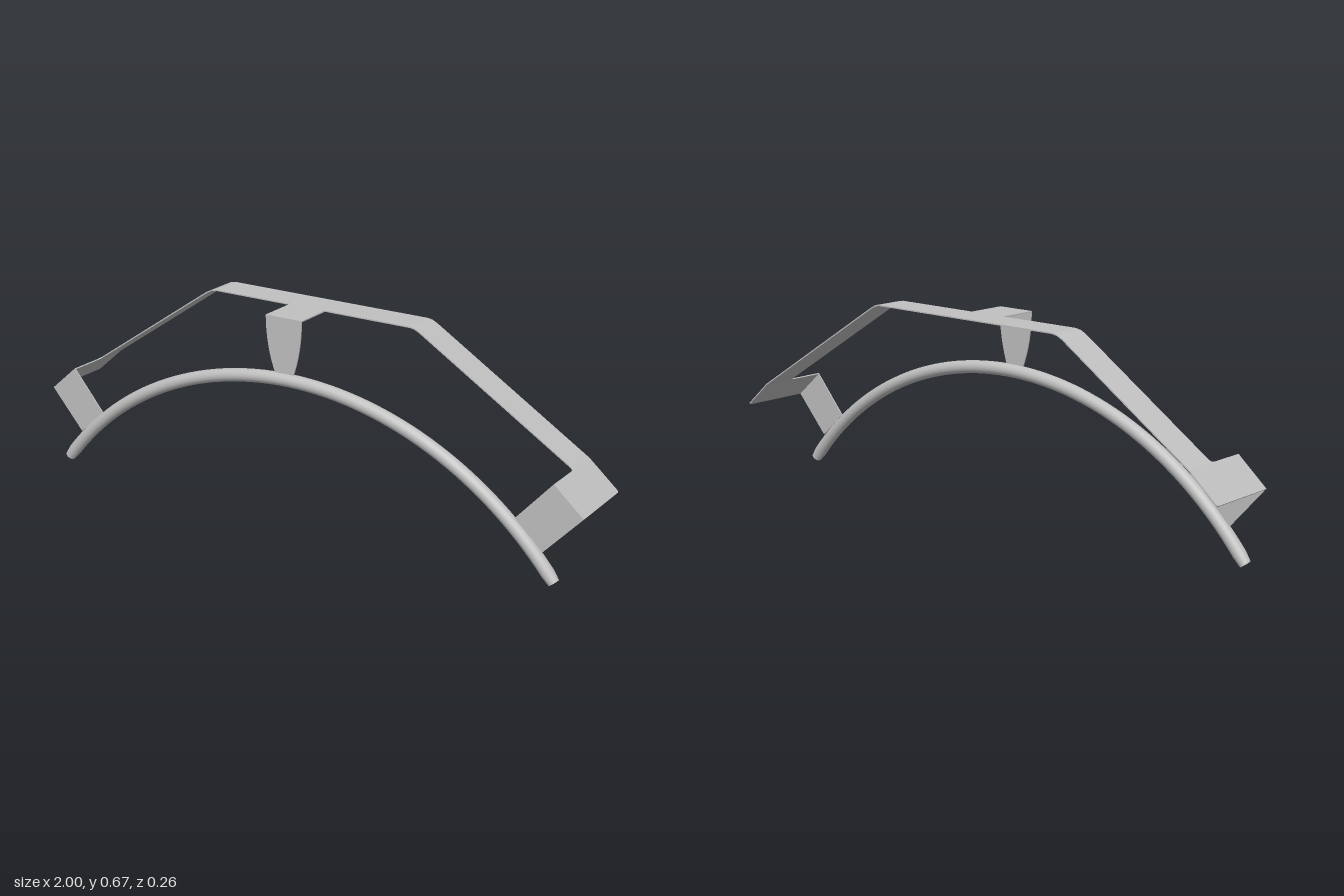
import * as THREE from 'three';

const T = 0.004;              // sheet thickness
const BACK = 0.13;            // back edge of the band (-z)
const INNER = 0.02;           // front edge of the band (-z)
const FRONT = -0.115;         // front face of the tabs (-z)

const metal = new THREE.MeshStandardMaterial({ color: 0xc0c0c0, side: THREE.DoubleSide });
metal.name = 'greyMetal';

function add(parent, geometry, name) {
  const mesh = new THREE.Mesh(geometry, metal);
  mesh.name = name;
  parent.add(mesh);
  return mesh;
}

const extrude = (shape) =>
  new THREE.ExtrudeGeometry(shape, { depth: T, bevelEnabled: false, curveSegments: 8 });

// Flat sheet lying along the line a-b of the front profile; outline is in (length, -z)
function sheet(parent, a, b, outline, name) {
  const d = new THREE.Vector3(b[0] - a[0], b[1] - a[1], 0);
  const length = d.length();
  d.normalize();
  const back = new THREE.Vector3(0, 0, -1);
  const n = new THREE.Vector3().crossVectors(d, back);
  const m = new THREE.Matrix4().makeBasis(d, back, n);
  m.setPosition(a[0] - n.x * T, a[1] - n.y * T, 0);
  add(parent, extrude(outline(length)).applyMatrix4(m), name);
}

// Plain strip of the band
const strip = (L) => new THREE.Shape([
  new THREE.Vector2(0, INNER), new THREE.Vector2(L, INNER),
  new THREE.Vector2(L, BACK), new THREE.Vector2(0, BACK)]);

// Sloping strip with a small fillet beside the end flange
const sloped = (flangeAtStart) => (L) => {
  const r = 0.015;
  const X = (s) => (flangeAtStart ? s : L - s);
  const s = new THREE.Shape();
  s.moveTo(X(0), BACK);
  s.lineTo(X(0), INNER - r);
  s.quadraticCurveTo(X(0), INNER, X(r), INNER);
  s.lineTo(X(L), INNER);
  s.lineTo(X(L), BACK);
  return s;
};

// Wide end flange with a softened back corner
const flange = (outerAtStart) => (L) => {
  const r = 0.008;
  const X = (s) => (outerAtStart ? s : L - s);
  const s = new THREE.Shape();
  s.moveTo(X(0), FRONT);
  s.lineTo(X(L), FRONT);
  s.lineTo(X(L), BACK);
  s.lineTo(X(r), BACK);
  s.quadraticCurveTo(X(0), BACK, X(0), BACK - r);
  return s;
};

// Top strip with the central tongue reaching forward
const TOP_START = -0.395, TONGUE = [-0.105, 0.028];
const topStrip = (L) => new THREE.Shape([
  [0, BACK], [0, INNER],
  [TONGUE[0] - TOP_START, INNER], [TONGUE[0] - TOP_START, FRONT],
  [TONGUE[1] - TOP_START, FRONT], [TONGUE[1] - TOP_START, INNER],
  [L, INNER], [L, BACK]].map(([x, y]) => new THREE.Vector2(x, y)));

export function createModel() {
  const group = new THREE.Group();
  group.name = 'bracketFrame';

  // Bent band, from left of the picture plane to right
  const band = new THREE.Group();
  band.name = 'band';
  group.add(band);
  const P = [[-1, 0.25], [-0.9, 0.337], [-0.435, 0.65], [-0.415, 0.66], [TOP_START, 0.664],
    [0.335, 0.664], [0.352, 0.661], [0.37, 0.652], [0.9, 0.322], [1, 0.235]];
  const pieces = [
    [flange(true), 'rightFlange'], [sloped(true), 'rightSlope'],
    [strip, 'rightBend'], [strip, 'rightBend'],
    [topStrip, 'topStrip'],
    [strip, 'leftBend'], [strip, 'leftBend'],
    [sloped(false), 'leftSlope'], [flange(false), 'leftFlange']];
  pieces.forEach(([outline, name], i) => sheet(band, P[i], P[i + 1], outline, name));

  // Upright plates joining the flanges to the tube
  const plates = {
    rightPlate: [[-1, 0.25], [-0.88, 0.113], [-0.785, 0.2], [-0.9, 0.337]],
    leftPlate: [[1, 0.235], [0.9, 0.322], [0.78, 0.187], [0.875, 0.1]],
  };
  for (const [name, pts] of Object.entries(plates)) {
    const shape = new THREE.Shape(pts.map(([x, y]) => new THREE.Vector2(x, y)));
    add(group, extrude(shape), name).position.z = -FRONT - T;
  }

  // Tapered central plate
  const stem = new THREE.Shape();
  stem.moveTo(TONGUE[0], 0.664);
  stem.bezierCurveTo(-0.105, 0.59, -0.092, 0.53, -0.07, 0.475);
  stem.lineTo(-0.004, 0.475);
  stem.bezierCurveTo(0.015, 0.53, 0.028, 0.59, TONGUE[1], 0.664);
  add(group, extrude(stem), 'centrePlate').position.z = -FRONT - T;

  // Arched hollow tube with slightly narrowed open ends
  const R = 1.178, cx = -0.0125, cy = 0.461 - R, half = Math.asin(0.927 / R);
  class Arch extends THREE.Curve {
    getPoint(t, target = new THREE.Vector3()) {
      const a = (2 * t - 1) * half;
      return target.set(cx + R * Math.sin(a), cy + R * Math.cos(a), 0.111);
    }
  }
  const arch = new Arch();
  const SEG = 64, SIDES = 20;
  const tube = new THREE.TubeGeometry(arch, SEG, 0.0215, SIDES, false);
  const pos = tube.attributes.position, v = new THREE.Vector3();
  for (const ring of [0, SEG]) {
    const c = arch.getPoint(ring / SEG);
    for (let j = 0; j <= SIDES; j++) {
      const i = ring * (SIDES + 1) + j;
      v.fromBufferAttribute(pos, i).sub(c).multiplyScalar(0.84).add(c);
      pos.setXYZ(i, v.x, v.y, v.z);
    }
  }
  add(group, tube, 'archTube');

  return group;
}
